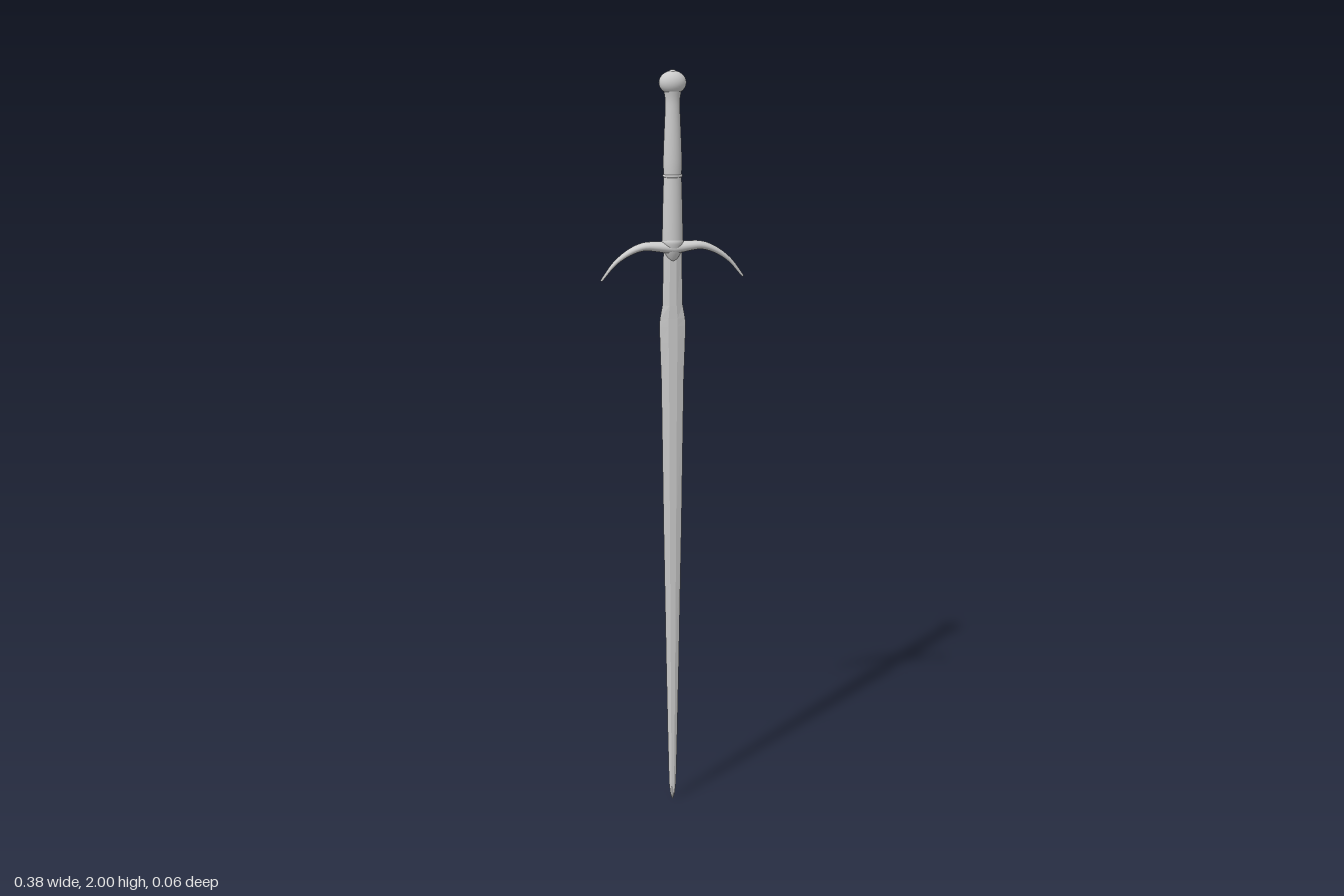
import * as THREE from 'three';

const V = (x, y, z) => new THREE.Vector3(x, y, z);
const steel = new THREE.MeshStandardMaterial({ color: 0xcccccc });
const facetedSteel = new THREE.MeshStandardMaterial({ color: 0xcccccc, flatShading: true });

// Skins a row of equal-length rings and closes both ends with a fan.
function loft(rings) {
  const n = rings[0].length, last = rings.length - 1;
  const points = rings.flat(), index = [];
  for (let i = 0; i < last; i++) {
    for (let j = 0; j < n; j++) {
      const a = i * n + j, b = i * n + (j + 1) % n;
      index.push(a, b, b + n, a, b + n, a + n);
    }
  }
  for (let j = 1; j < n - 1; j++) {
    index.push(0, j + 1, j, last * n, last * n + j, last * n + j + 1);
  }
  const geometry = new THREE.BufferGeometry().setFromPoints(points);
  geometry.setIndex(index);
  geometry.computeVertexNormals();
  return geometry;
}

// Turned part with an oval section.
function turned(profile, depth) {
  const curve = new THREE.SplineCurve(profile.map(([r, y]) => new THREE.Vector2(r, y)));
  return new THREE.LatheGeometry(curve.getPoints(profile.length * 4), 32).scale(1, 1, depth);
}

export function createModel() {
  const sword = new THREE.Group();
  sword.name = 'sword';
  const add = (name, geometry, material = steel) => {
    const mesh = new THREE.Mesh(geometry, material);
    mesh.name = name;
    sword.add(mesh);
    return mesh;
  };

  // Blade: [height, half width, half thickness], bevelled six-sided section
  const stations = [
    [0, 0.001, 0.001], [0.015, 0.006, 0.003], [0.05, 0.01, 0.004], [0.2, 0.0135, 0.005],
    [0.4, 0.0175, 0.0055], [0.8, 0.0245, 0.006], [1.2, 0.03, 0.0065], [1.3, 0.0335, 0.007],
    [1.345, 0.035, 0.007], [1.365, 0.0335, 0.007], [1.4, 0.027, 0.0075], [1.55, 0.024, 0.008],
  ];
  add('blade', loft(stations.map(([y, w, t]) => [
    V(w * 0.35, y, t), V(w, y, 0), V(w * 0.35, y, -t),
    V(-w * 0.35, y, -t), V(-w, y, 0), V(-w * 0.35, y, t),
  ])), facetedSteel);

  // Crossguard: drooping arms with an oval section tapering to the tips
  const half = [[0.04, 1.554], [0.075, 1.555], [0.11, 1.543], [0.15, 1.515], [0.187, 1.47]];
  const path = new THREE.CatmullRomCurve3([
    ...half.map(([x, y]) => V(-x, y, 0)).reverse(),
    V(0, 1.55, 0),
    ...half.map(([x, y]) => V(x, y, 0)),
  ]);
  const guardRings = [];
  for (let i = 0; i <= 48; i++) {
    const c = path.getPointAt(i / 48), t = path.getTangentAt(i / 48);
    const s = Math.min(1, Math.abs(c.x) / 0.187);
    const tall = 0.003 + 0.013 * (1 - s), deep = 0.003 + 0.021 * (1 - s) ** 0.9;
    guardRings.push(Array.from({ length: 16 }, (_, j) => {
      const a = j / 16 * Math.PI * 2, u = Math.cos(a) * tall;
      return V(c.x - t.y * u, c.y + t.x * u, Math.sin(a) * deep);
    }));
  }
  add('crossguard', loft(guardRings));

  // Pointed block where the guard meets the blade
  add('guardCentre', turned([[0.001, 1.512], [0.011, 1.52], [0.022, 1.54], [0.028, 1.563], [0.026, 1.572]], 0.92));

  // Grip in two swells, parted by a ring
  add('lowerGrip', turned([[0.027, 1.56], [0.0265, 1.6], [0.025, 1.67], [0.023, 1.735]], 0.88));
  add('gripRing', new THREE.TorusGeometry(0.0215, 0.004, 10, 32).rotateX(Math.PI / 2).scale(1, 1, 0.88).translate(0, 1.735, 0));
  add('upperGrip', turned([[0.023, 1.735], [0.024, 1.77], [0.0225, 1.82], [0.0195, 1.89], [0.019, 1.925], [0.023, 1.95]], 0.88));

  // Pommel: flattened ball with a small peened button on top
  add('pommel', new THREE.SphereGeometry(1, 32, 20).scale(0.035, 0.0295, 0.028).translate(0, 1.968, 0));
  add('pommelButton', new THREE.SphereGeometry(0.009, 16, 10).scale(1, 0.5, 1).translate(0, 1.9955, 0));

  return sword;
}
